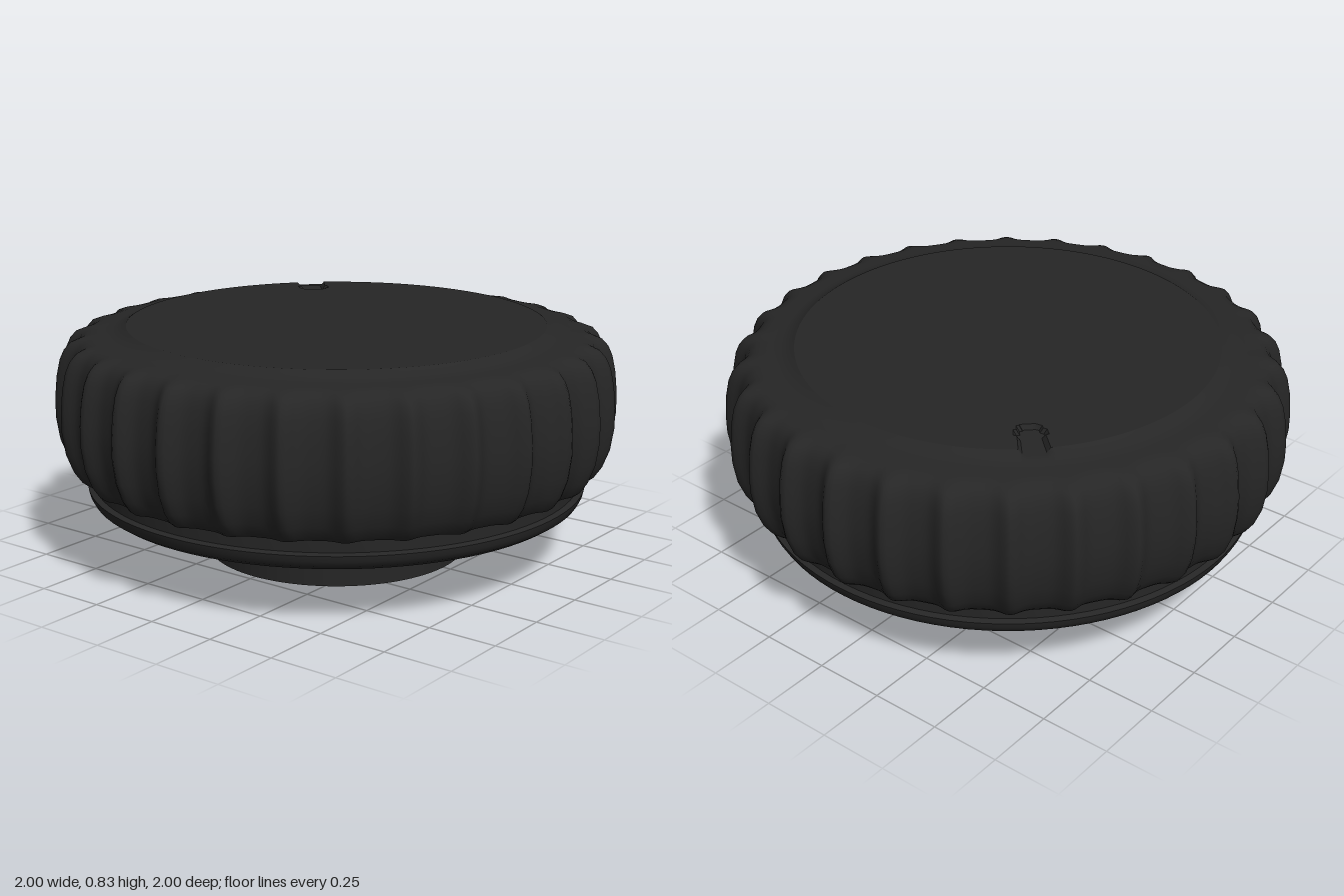
import * as THREE from 'three';
import { toCreasedNormals } from 'three/addons/utils/BufferGeometryUtils.js';

const RIBS = 30, SEGMENTS = 360, RAD = Math.PI / 180;
const black = new THREE.MeshStandardMaterial({ color: 0x262626, side: THREE.DoubleSide });
const copper = new THREE.MeshStandardMaterial({ color: 0xc87040, side: THREE.DoubleSide });
const grey = new THREE.MeshStandardMaterial({ color: 0x888888 });

// 1 on a rib's crest, 0 in the valleys
function ribHeight(deg) {
  const step = 360 / RIBS;
  const d = (((deg - 3 + step / 2) % step) + step) % step - step / 2;
  return Math.exp(-Math.pow(d / 2.3, 2));
}

// Pointer groove: a sunken capsule running radially across the cap's edge
function grooved(x, y, z) {
  const along = (x - z) / Math.SQRT2, across = (x + z) / Math.SQRT2;
  const t = Math.min(Math.max(along, 0.64), 0.755);
  return Math.hypot(along - t, across) < 0.046 ? Math.min(y, 0.812) : y;
}

// Skin over rings of [valley radius, y, crest radius]
function ringSkin(rings) {
  const pos = [], index = [];
  rings.forEach(([r0, y, r1 = r0], i) => {
    for (let j = 0; j < SEGMENTS; j++) {
      const deg = (j * 360) / SEGMENTS;
      const r = r0 + (r1 - r0) * ribHeight(deg);
      const x = r * Math.sin(deg * RAD), z = -r * Math.cos(deg * RAD);
      pos.push(x, y > 0.8 ? grooved(x, y, z) : y, z);
      if (i === rings.length - 1) continue;
      const a = i * SEGMENTS + j, b = i * SEGMENTS + ((j + 1) % SEGMENTS);
      index.push(a, b, a + SEGMENTS, b, b + SEGMENTS, a + SEGMENTS);
    }
  });
  const geo = new THREE.BufferGeometry();
  geo.setAttribute('position', new THREE.Float32BufferAttribute(pos, 3));
  geo.setIndex(index);
  geo.computeVertexNormals();
  return geo;
}

function lathe(points, segments) {
  const geo = new THREE.LatheGeometry(points.map(([r, y]) => new THREE.Vector2(r, y)), segments);
  return toCreasedNormals(geo, 0.6);
}

export function createModel() {
  const group = new THREE.Group();
  const add = (name, geo, mat, x = 0, y = 0, z = 0) => {
    const mesh = new THREE.Mesh(geo, mat);
    mesh.name = name;
    mesh.position.set(x - 0.005, y, z);
    group.add(mesh);
    return mesh;
  };

  // Flat cap, with closely spaced rings where the groove lies
  const capRings = [[0, 0.83]];
  for (let k = 0; k <= 20; k++) capRings.push([0.585 + k * 0.008, 0.83]);
  add('topCap', toCreasedNormals(ringSkin(capRings), 0.6), black);

  // Sloped shoulder rolling over into the bulging ribbed grip
  add('ribbedGrip', ringSkin([
    [0.745, 0.83], [0.757, 0.822], [0.77, 0.815], [0.785, 0.809], [0.80, 0.805],
    [0.83, 0.801], [0.86, 0.799, 0.87], [0.885, 0.793, 0.905], [0.908, 0.78, 0.94],
    [0.925, 0.755, 0.963], [0.938, 0.72, 0.979], [0.95, 0.66, 0.992], [0.957, 0.58, 1],
    [0.957, 0.51, 1], [0.947, 0.43, 0.988], [0.928, 0.365, 0.963], [0.905, 0.325, 0.935],
    [0.89, 0.31, 0.915],
  ]), black);
  add('gripUnderside', ringSkin([[0.89, 0.31, 0.915], [0.85, 0.31]]), black);

  // Base plate with rounded lip and open centre
  add('basePlate', lathe([
    [0.47, 0.2], [0.83, 0.2], [0.86, 0.205], [0.882, 0.22], [0.893, 0.24], [0.897, 0.26],
    [0.875, 0.265], [0.875, 0.31],
  ], 96), black);

  // Open hub tube
  const hub = new THREE.CylinderGeometry(0.47, 0.47, 0.2, 96, 1, true);
  add('hubTube', hub, black, 0, 0.1, 0);

  // Fifteen stations around the underside: two copper contacts, the rest studs
  const stud = new THREE.SphereGeometry(0.033, 20, 10);
  const contact = lathe([
    [0, -0.003], [0.035, -0.003], [0.06, -0.002], [0.07, -0.009], [0.088, -0.009], [0.098, 0],
  ], 32);
  for (let k = 0; k < 15; k++) {
    const a = (4.5 + 24 * k) * RAD, r = 0.735;
    const x = (r * (Math.sin(a) - Math.cos(a))) / Math.SQRT2;
    const z = (-r * (Math.sin(a) + Math.cos(a))) / Math.SQRT2;
    if (k === 7 || k === 8) add('copperContact', contact, copper, x * 0.95, 0.2, z * 0.95);
    else add('stud', stud, grey, x, 0.2, z).scale.y = 0.18;
  }
  return group;
}
